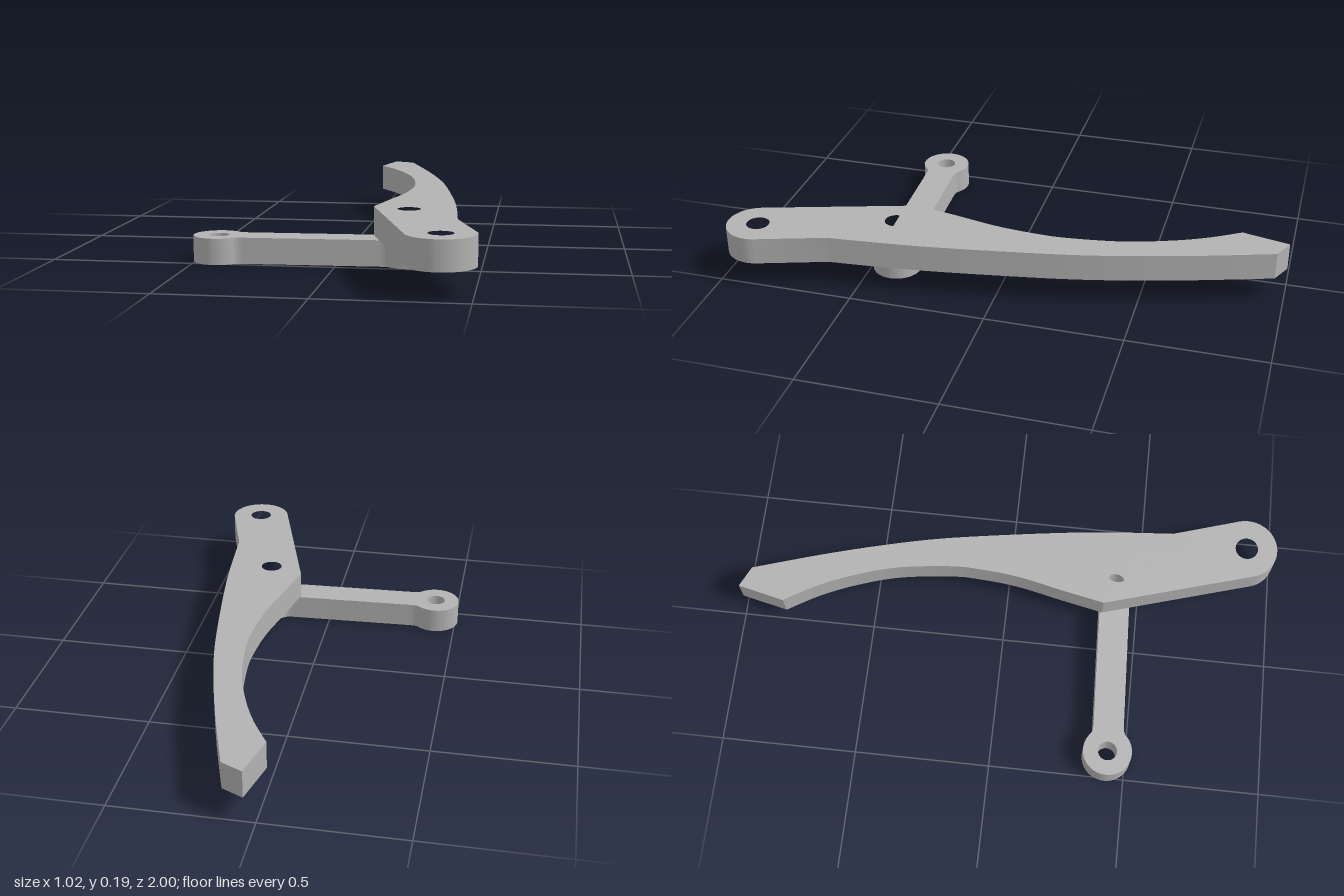
import * as THREE from 'three';
import { toCreasedNormals } from 'three/addons/utils/BufferGeometryUtils.js';

const grey = new THREE.MeshStandardMaterial({ color: 0xb2b2b2 });
grey.name = 'plain grey';

// Plan points are [x, z]; shapes are drawn with y = -z
const plan = (pts) => pts.map(([x, z]) => new THREE.Vector2(x, -z));

function addHole(shape, x, z, r) {
  shape.holes.push(new THREE.Path().absarc(x, -z, r, 0, Math.PI * 2, true));
}

// Flat plate lying between two heights
function plate(name, shape, bottom, top) {
  const geo = new THREE.ExtrudeGeometry(shape, { depth: top - bottom, bevelEnabled: false, curveSegments: 24 });
  geo.rotateX(-Math.PI / 2);
  geo.translate(0, bottom, 0);
  const mesh = new THREE.Mesh(toCreasedNormals(geo, 0.28), grey);
  mesh.name = name;
  return mesh;
}

// Curved lever with a rounded pivot end and a pointed tip
function leverShape() {
  const s = new THREE.Shape();
  s.moveTo(0.04, 1.0);
  s.lineTo(0.118, 0.963);
  s.splineThru(plan([[0.2, -0.705], [0.263, -0.48], [0.31, -0.28], [0.35, -0.05], [0.39, 0.22], [0.41, 0.4], [0.427, 0.605]]));
  s.absarc(0.395, -0.885, 0.115, 0.28, -2.84, true);
  s.lineTo(0.118, -0.365);
  s.splineThru(plan([[0.15, 0.21], [0.187, 0.04], [0.202, -0.1], [0.203, -0.22], [0.176, -0.42], [0.127, -0.58], [0.07, -0.71], [0, -0.827]]));
  s.closePath();
  addHole(s, 0.395, 0.885, 0.042);
  addHole(s, 0.246, 0.407, 0.04);
  return s;
}

// Straight link with an eye at each end, blended into the bar
function linkShape() {
  const a = new THREE.Vector2(-0.42, -0.43), b = new THREE.Vector2(0.246, -0.407);
  const r = 0.09, half = 0.056, open = 0.82;
  const dir = b.clone().sub(a).normalize();
  const side = new THREE.Vector2(-dir.y, dir.x);
  const tilt = Math.atan2(dir.y, dir.x);
  const at = (c, u, v) => {
    const p = c.clone().addScaledVector(dir, u).addScaledVector(side, v);
    return [p.x, p.y];
  };
  const ex = r * Math.cos(open), ey = r * Math.sin(open);
  const kx = ex + (ey - half) / Math.tan(open), bx = 0.1;
  const s = new THREE.Shape();
  s.absarc(a.x, a.y, r, tilt + open, tilt + Math.PI * 2 - open, false);
  s.quadraticCurveTo(...at(a, kx, -half), ...at(a, bx, -half));
  s.lineTo(...at(b, -bx, -half));
  s.quadraticCurveTo(...at(b, -kx, -half), ...at(b, -ex, -ey));
  s.absarc(b.x, b.y, r, tilt - Math.PI + open, tilt + Math.PI - open, false);
  s.quadraticCurveTo(...at(b, -kx, half), ...at(b, -bx, half));
  s.lineTo(...at(a, bx, half));
  s.quadraticCurveTo(...at(a, kx, half), ...at(a, ex, ey));
  addHole(s, -0.42, 0.43, 0.035);
  addHole(s, 0.246, 0.407, 0.035);
  return s;
}

export function createModel() {
  const group = new THREE.Group();
  group.name = 'leverAndLink';
  group.add(plate('lever', leverShape(), 0.093, 0.194));
  group.add(plate('link', linkShape(), 0, 0.092));
  return group;
}
